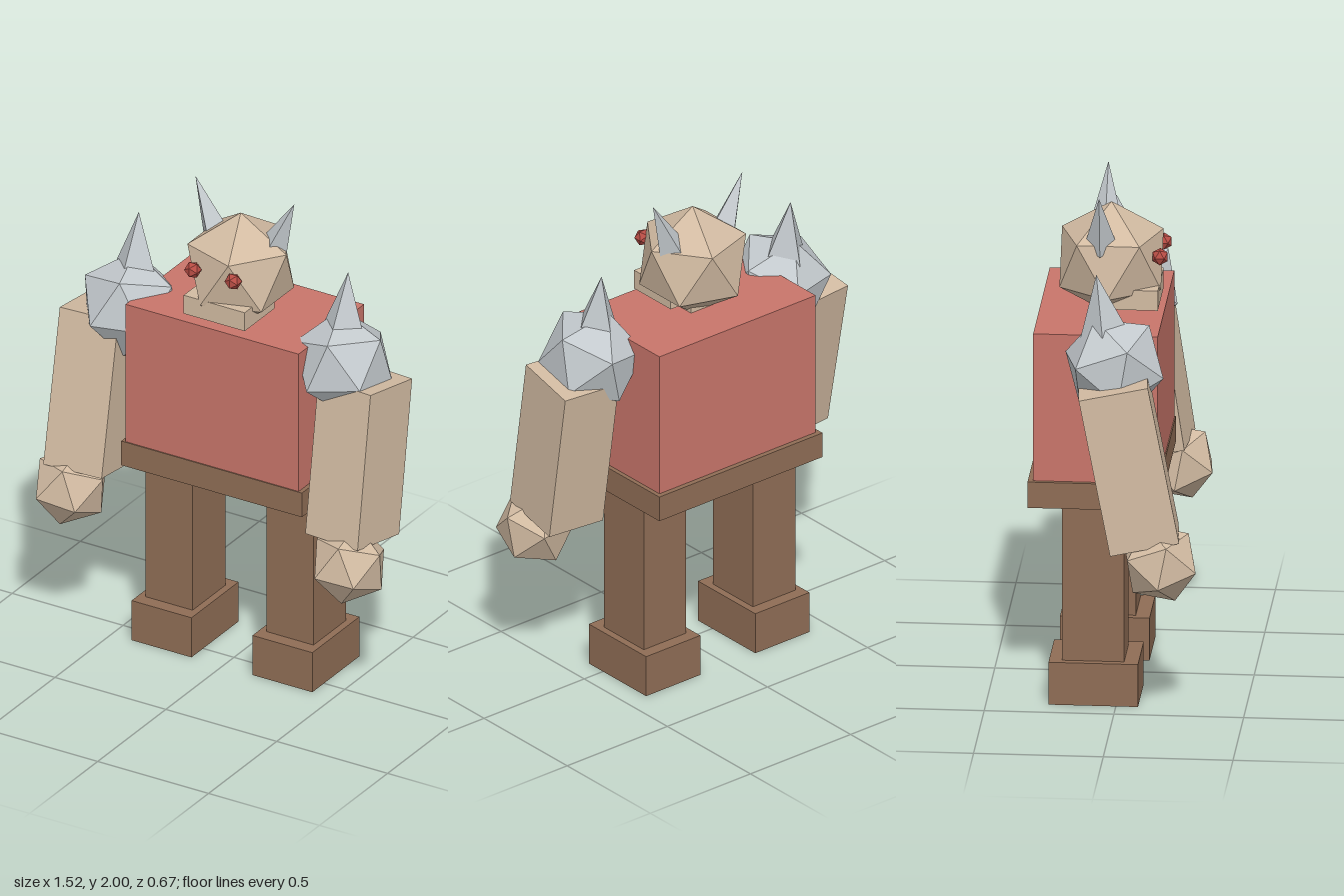
import * as THREE from 'three';

const paint = (name, color) => {
  const m = new THREE.MeshStandardMaterial({ color });
  m.name = name;
  return m;
};

export function createModel() {
  const skin = paint('skin', 0xd2bba2);
  const cloth = paint('red cloth', 0xc8756a);
  const leather = paint('brown leather', 0x8f6d55);
  const steel = paint('steel', 0xc3c9cd);
  const eyeRed = paint('eye red', 0xb84d45);
  const model = new THREE.Group();
  model.name = 'brute';

  const add = (name, geometry, material, pos) => {
    const mesh = new THREE.Mesh(geometry, material);
    mesh.name = name;
    mesh.position.set(...pos);
    model.add(mesh);
    return mesh;
  };
  const box = (name, material, size, pos) =>
    add(name, new THREE.BoxGeometry(...size), material, pos);

  // Faceted ball turned so its own x and z axes follow the given directions
  const ball = (name, material, r, pos, xDir, zDir) => {
    const mesh = add(name, new THREE.IcosahedronGeometry(r, 0), material, pos);
    const z = new THREE.Vector3(...zDir).normalize();
    const y = new THREE.Vector3().crossVectors(z, new THREE.Vector3(...xDir)).normalize();
    const x = new THREE.Vector3().crossVectors(y, z);
    mesh.quaternion.setFromRotationMatrix(new THREE.Matrix4().makeBasis(x, y, z));
    return mesh;
  };

  // Four-sided spike from the middle of its base to its tip
  const spike = (name, material, r, base, tip) => {
    const a = new THREE.Vector3(...base);
    const dir = new THREE.Vector3(...tip).sub(a);
    const h = dir.length();
    const g = new THREE.ConeGeometry(r, h, 4).translate(0, h / 2, 0).toNonIndexed();
    g.computeVertexNormals();
    const mesh = add(name, g, material, base);
    mesh.quaternion.setFromUnitVectors(new THREE.Vector3(0, 1, 0), dir.normalize());
    return mesh;
  };

  // Body
  box('torso', cloth, [0.78, 0.6, 0.48], [0, 1.2, -0.08]);
  box('belt', leather, [0.815, 0.105, 0.505], [0, 0.85, -0.088]);
  box('neck', skin, [0.15, 0.13, 0.15], [-0.005, 1.46, -0.05]);

  // Head: faceted ball with one corner straight up
  const headGeo = new THREE.IcosahedronGeometry(0.23, 0);
  headGeo.rotateX(-Math.atan((1 + Math.sqrt(5)) / 2)).rotateY(Math.PI / 2);
  add('head', headGeo, skin, [0, 1.682, -0.05]);
  box('jaw', skin, [0.275, 0.08, 0.22], [-0.003, 1.56, 0.03]);

  // Parts in pairs: s = 1 is the left side, s = -1 the right
  for (const s of [1, -1]) {
    const side = s > 0 ? 'left' : 'right';
    const left = s > 0;

    add(side + 'Eye', new THREE.IcosahedronGeometry(0.034, 0), eyeRed,
      [s * 0.091 - 0.005, 1.725, 0.145]);
    spike(side + 'Horn', steel, 0.065, [s * 0.124, 1.77, -0.08], [s * 0.223, 1.997, -0.08]);

    // Shoulder armour
    ball(side + 'ShoulderGuard', steel, 0.205,
      left ? [0.482, 1.41, -0.02] : [-0.47, 1.41, 0],
      left ? [-0.228, 0.256, -0.94] : [-0.23, 0.168, -0.958],
      left ? [0.951, 0.159, -0.264] : [0.967, 0, -0.254]);
    spike(side + 'ShoulderSpike', steel, 0.095,
      [s * 0.47, 1.53, -0.037], [s * 0.472, 1.775, -0.07]);

    // Arms swing forward by slightly different amounts
    const arm = box(side + 'Arm', skin, [0.25, 0.64, 0.27],
      left ? [0.578, 1.048, 0.025] : [-0.583, 1.055, 0.064]);
    arm.rotation.set(left ? -0.15 : -0.19, -s * 0.09, 0);
    ball(side + 'Fist', skin, 0.158,
      left ? [0.615, 0.648, 0.155] : [-0.62, 0.662, 0.19],
      [0.99, -0.06, -0.1], left ? [0.06, 0.98, 0.18] : [0.15, 0.96, 0.18]);

    // Legs
    const x = left ? 0.271 : -0.274;
    box(side + 'Leg', leather, [0.212, 0.64, 0.24], [x, 0.468, -0.09]);
    box(side + 'Foot', leather, [0.27, 0.172, 0.345], [x, 0.086, -0.087]);
  }
  return model;
}
